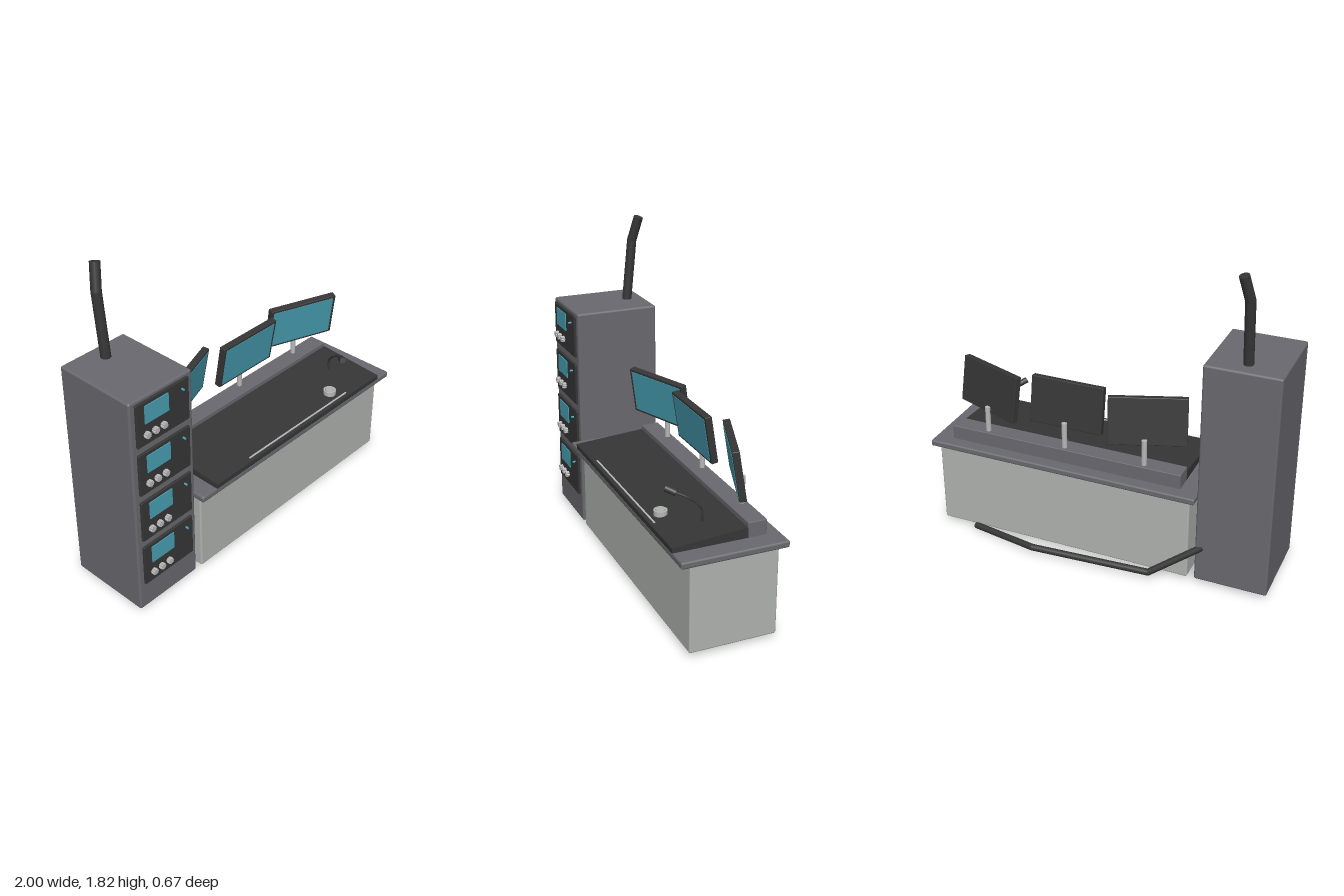
import * as THREE from 'three';
import { RoundedBoxGeometry } from 'three/addons/geometries/RoundedBoxGeometry.js';

const material = (name, color) => {
  const m = new THREE.MeshStandardMaterial({ color });
  m.name = name;
  return m;
};

export function createModel() {
  const model = new THREE.Group();
  model.name = 'controlDesk';
  const grey = material('slate grey', 0x69696f);
  const light = material('light grey', 0xb0b3b0);
  const dark = material('charcoal', 0x363636);
  const teal = material('screen teal', 0x48a0b4);
  const metal = material('pale metal', 0xb8b8b8);

  const add = (parent, name, geometry, mat, x = 0, y = 0, z = 0) => {
    const mesh = new THREE.Mesh(geometry, mat);
    mesh.name = name;
    mesh.position.set(x, y, z);
    parent.add(mesh);
    return mesh;
  };
  const group = (parent, name, x = 0, y = 0, z = 0) => {
    const g = new THREE.Group();
    g.name = name;
    g.position.set(x, y, z);
    parent.add(g);
    return g;
  };
  // Box given by its limits on each axis
  const block = (parent, name, mat, [x0, x1], [y0, y1], [z0, z1], r = 0) => {
    const size = [x1 - x0, y1 - y0, z1 - z0];
    const geo = r ? new RoundedBoxGeometry(...size, 2, r) : new THREE.BoxGeometry(...size);
    return add(parent, name, geo, mat, (x0 + x1) / 2, (y0 + y1) / 2, (z0 + z1) / 2);
  };
  // Straight pipe sections joined by ball elbows
  const pipe = (parent, name, mat, radius, points) => {
    const g = group(parent, name);
    const pts = points.map(p => new THREE.Vector3(...p));
    for (let i = 0; i < pts.length - 1; i++) {
      const d = pts[i + 1].clone().sub(pts[i]);
      const mid = pts[i].clone().addScaledVector(d, 0.5);
      const s = add(g, 'pipeSection', new THREE.CylinderGeometry(radius, radius, d.length(), 16), mat, mid.x, mid.y, mid.z);
      s.quaternion.setFromUnitVectors(new THREE.Vector3(0, 1, 0), d.normalize());
      if (i > 0) add(g, 'elbow', new THREE.SphereGeometry(radius, 16, 10), mat, ...points[i]);
    }
    return g;
  };
  // Fluted knob outline
  const knobShape = new THREE.Shape();
  for (let i = 0; i < 20; i++) {
    const r = i % 2 ? 0.014 : 0.018;
    const a = (i / 20) * Math.PI * 2;
    knobShape[i ? 'lineTo' : 'moveTo'](r * Math.cos(a), r * Math.sin(a));
  }
  knobShape.closePath();
  const knobGeometry = new THREE.ExtrudeGeometry(knobShape, { depth: 0.023, bevelEnabled: false });

  // Equipment rack with four identical units
  const rack = group(model, 'rack');
  block(rack, 'rackCabinet', grey, [-1, -0.59], [0.03, 1.33], [-0.21, 0.27], 0.012);
  for (let i = 0; i < 4; i++) {
    const unit = group(rack, 'rackUnit', -0.795, 1.187 - i * 0.29, 0.27);
    block(unit, 'unitPanel', dark, [-0.172, 0.172], [-0.123, 0.123], [-0.01, 0.013], 0.004);
    block(unit, 'unitScreen', teal, [-0.122, 0.033], [0, 0.102], [0.012, 0.018]);
    for (const x of [-0.117, -0.063, -0.008]) add(unit, 'knob', knobGeometry, metal, x, -0.06, 0.012);
    add(unit, 'indicator', new THREE.CylinderGeometry(0.006, 0.006, 0.018, 12), teal, 0.124, 0.075, 0.02).rotation.x = Math.PI / 2;
  }
  pipe(rack, 'exhaustPipe', dark, 0.027, [[-0.795, 1.31, -0.108], [-0.795, 1.68, -0.145], [-0.765, 1.817, -0.176]]);

  // Desk body, worktop and rear riser
  const desk = group(model, 'desk');
  block(desk, 'deskBody', light, [-0.55, 0.963], [0.028, 0.53], [-0.21, 0.27], 0.01);
  block(desk, 'worktop', grey, [-0.588, 0.998], [0.524, 0.561], [-0.25, 0.33], 0.01);
  block(desk, 'monitorRiser', grey, [-0.485, 0.89], [0.555, 0.643], [-0.177, -0.073], 0.004);

  // Sloping control surface
  const wedge = new THREE.Shape([[0.075, 0.555], [0.075, 0.617], [-0.333, 0.588], [-0.333, 0.561]]
    .map(([x, y]) => new THREE.Vector2(x, y)));
  const surface = add(desk, 'controlSurface',
    new THREE.ExtrudeGeometry(wedge, { depth: 1.375, bevelEnabled: false }), dark, -0.485, 0, 0);
  surface.rotation.y = Math.PI / 2;
  const strip = block(desk, 'lightStrip', metal, [-0.21, 0.617], [0.586, 0.594], [0.303, 0.312]);
  strip.rotation.x = 0.07;

  // Round dial
  const dial = group(desk, 'dial', 0.545, 0.605, 0.245);
  add(dial, 'dialBase', new THREE.CylinderGeometry(0.036, 0.036, 0.03, 28), metal);
  add(dial, 'dialCap', new THREE.CylinderGeometry(0.026, 0.028, 0.008, 28), light, 0, 0.017, 0);

  // Gooseneck microphone
  const mic = group(desk, 'microphone');
  const neck = new THREE.CatmullRomCurve3([
    [0.72, 0.595, 0.095], [0.72, 0.675, 0.098], [0.71, 0.715, 0.13], [0.697, 0.745, 0.172], [0.665, 0.765, 0.222],
  ].map(p => new THREE.Vector3(...p)));
  add(mic, 'gooseneck', new THREE.TubeGeometry(neck, 24, 0.006, 8), dark);
  pipe(mic, 'microphoneHead', dark, 0.017, [[0.672, 0.762, 0.215], [0.636, 0.781, 0.258]]);

  // Three monitors, the outer two turned inward
  [[-0.265, 0.35], [0.204, 0], [0.676, -0.35]].forEach(([x, yaw]) => {
    const station = group(model, 'monitorStation');
    add(station, 'monitorPost', new THREE.CylinderGeometry(0.015, 0.015, 0.155, 16), metal, x, 0.715, -0.145);
    const monitor = group(station, 'monitor', x, 0.887, -0.098);
    monitor.rotation.set(0.16, yaw, 0, 'YXZ');
    block(monitor, 'monitorCase', dark, [-0.213, 0.213], [-0.134, 0.134], [-0.019, 0.019], 0.004);
    block(monitor, 'monitorScreen', teal, [-0.196, 0.196], [-0.12, 0.12], [0.016, 0.021]);
  });

  // Cable duct trailing behind the desk
  pipe(model, 'rearDuct', dark, 0.019, [
    [-0.63, 0.24, -0.195], [-0.35, 0.05, -0.28], [0.34, 0.045, -0.315], [0.755, 0.021, -0.215],
  ]);
  return model;
}
